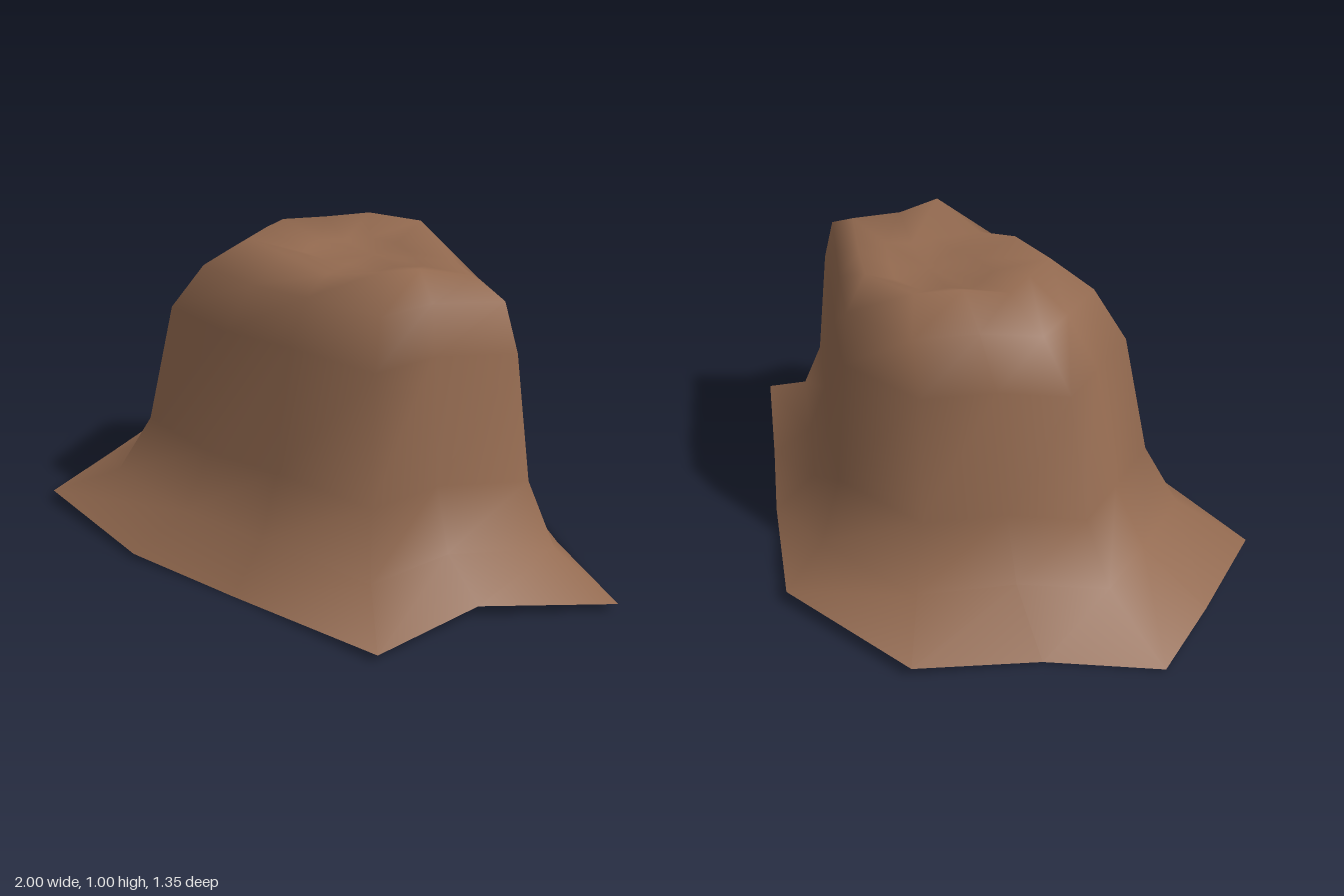
import * as THREE from 'three';

// brim outline: x, height, z, and height of the crown's rim above it
const OUTLINE = [
  [-1.0, 0.01, -0.09, 0.985], [-0.71, 0.01, -0.32, 0.99], [-0.46, 0.04, -0.63, 0.99],
  [0.05, 0.05, -0.675, 0.99], [0.41, 0.02, -0.41, 0.975], [0.68, 0.005, -0.19, 0.95],
  [0.995, 0.03, 0.06, 0.955], [0.67, 0.05, 0.33, 0.98], [0.54, 0.03, 0.67, 1.0],
  [0.0, 0.005, 0.645, 0.95], [-0.4, 0.02, 0.655, 0.985], [-0.88, 0.045, 0.54, 0.99],
  [-0.95, 0.02, 0.2, 0.99],
];

// crown cross-sections: height, x extent, z extent
const RINGS = [
  [0.15, -0.75, 0.78, -0.51, 0.54],
  [0.35, -0.63, 0.68, -0.42, 0.465],
  [0.75, -0.53, 0.62, -0.36, 0.415],
  [0.9, -0.41, 0.57, -0.31, 0.37],
  [null, -0.27, 0.46, -0.22, 0.285], // uneven rim
  [0.94, -0.12, 0.28, -0.12, 0.15],  // hollow in the top
];

function hatGeometry() {
  const n = OUTLINE.length;
  const pos = [];
  const index = [];
  OUTLINE.forEach(([x, y, z]) => pos.push(x, y, z));
  for (const [h, x0, x1, z0, z1] of RINGS) {
    for (const [x, , z, rim] of OUTLINE) {
      pos.push(
        THREE.MathUtils.mapLinear(x, -1, 0.995, x0, x1),
        h ?? rim,
        THREE.MathUtils.mapLinear(z, -0.675, 0.67, z0, z1),
      );
    }
  }
  // walls between neighbouring cross-sections
  for (let r = 0; r < RINGS.length; r++) {
    for (let i = 0; i < n; i++) {
      const a = r * n + i, b = r * n + (i + 1) % n;
      index.push(a, a + n, b, b, a + n, b + n);
    }
  }
  // top centre
  const last = RINGS.length * n;
  const centre = pos.length / 3;
  pos.push(0.08, 0.935, 0.01);
  for (let i = 0; i < n; i++) index.push(last + i, centre, last + (i + 1) % n);

  const g = new THREE.BufferGeometry();
  g.setAttribute('position', new THREE.Float32BufferAttribute(pos, 3));
  g.setIndex(index);
  g.computeVertexNormals();
  return g;
}

export function createModel() {
  const group = new THREE.Group();
  group.name = 'hat';
  const felt = new THREE.MeshStandardMaterial({ color: 0x92694f, side: THREE.DoubleSide });
  felt.name = 'brown felt';
  const hat = new THREE.Mesh(hatGeometry(), felt);
  hat.name = 'crownAndBrim';
  group.add(hat);
  return group;
}
